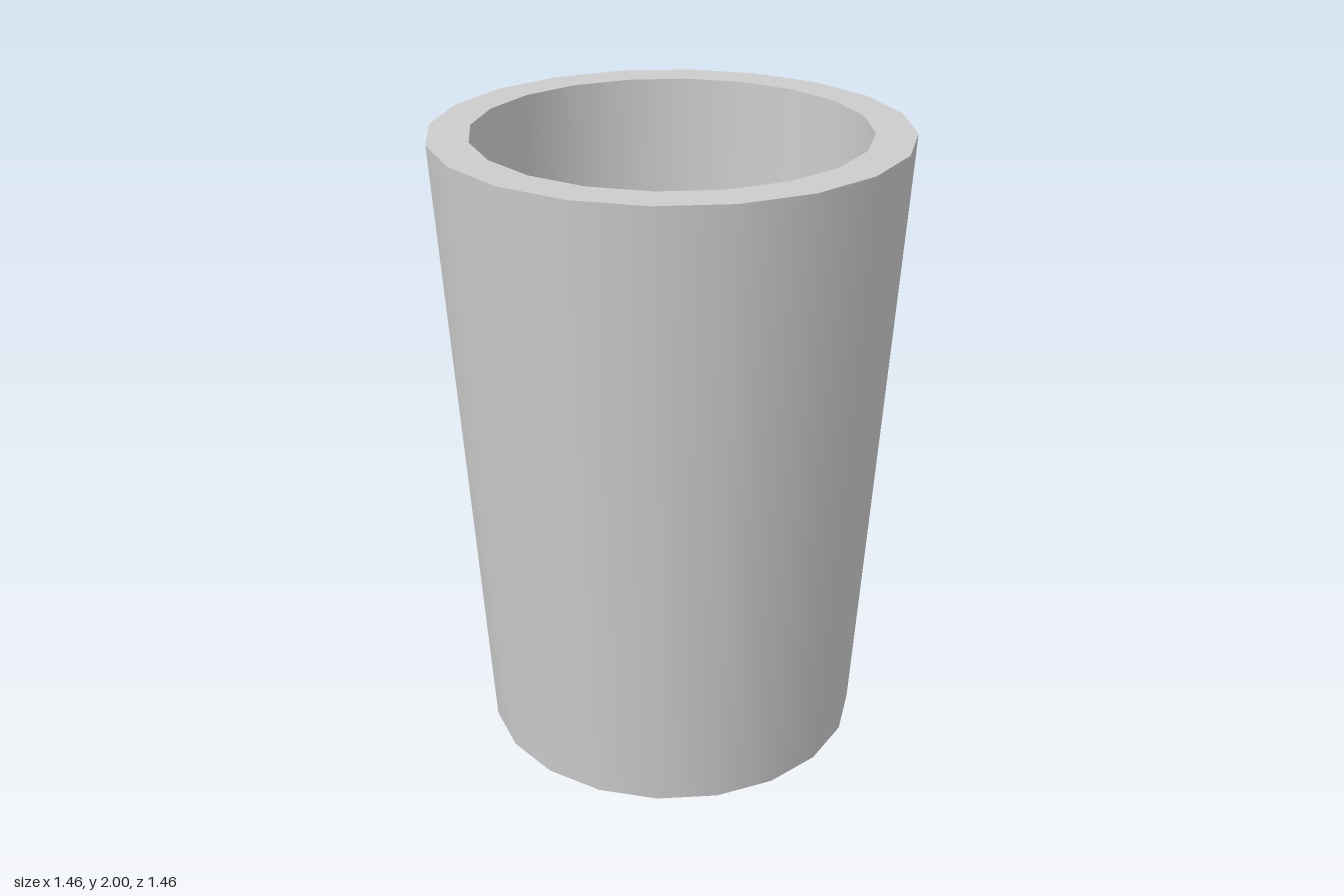
import * as THREE from 'three';

const SIDES = 20;

export function createModel() {
  const group = new THREE.Group();
  group.name = 'tumbler';
  const material = new THREE.MeshStandardMaterial({ color: 0xcccccc });

  // Closed profile [radius, height], from the centre of the base round to the centre of the inner floor
  const profile = [[0, 0], [0.61, 0], [0.73, 2], [0.605, 2], [0.545, 0.13], [0, 0.13]]
    .map(([r, y]) => new THREE.Vector2(r, y));

  // One surface per profile segment: smooth around the cup, sharp at the edges
  const parts = ['base', 'outerWall', 'rim', 'innerWall', 'innerFloor'];
  parts.forEach((name, i) => {
    const geometry = new THREE.LatheGeometry([profile[i], profile[i + 1]], SIDES);
    const mesh = new THREE.Mesh(geometry, material);
    mesh.name = name;
    group.add(mesh);
  });
  return group;
}
